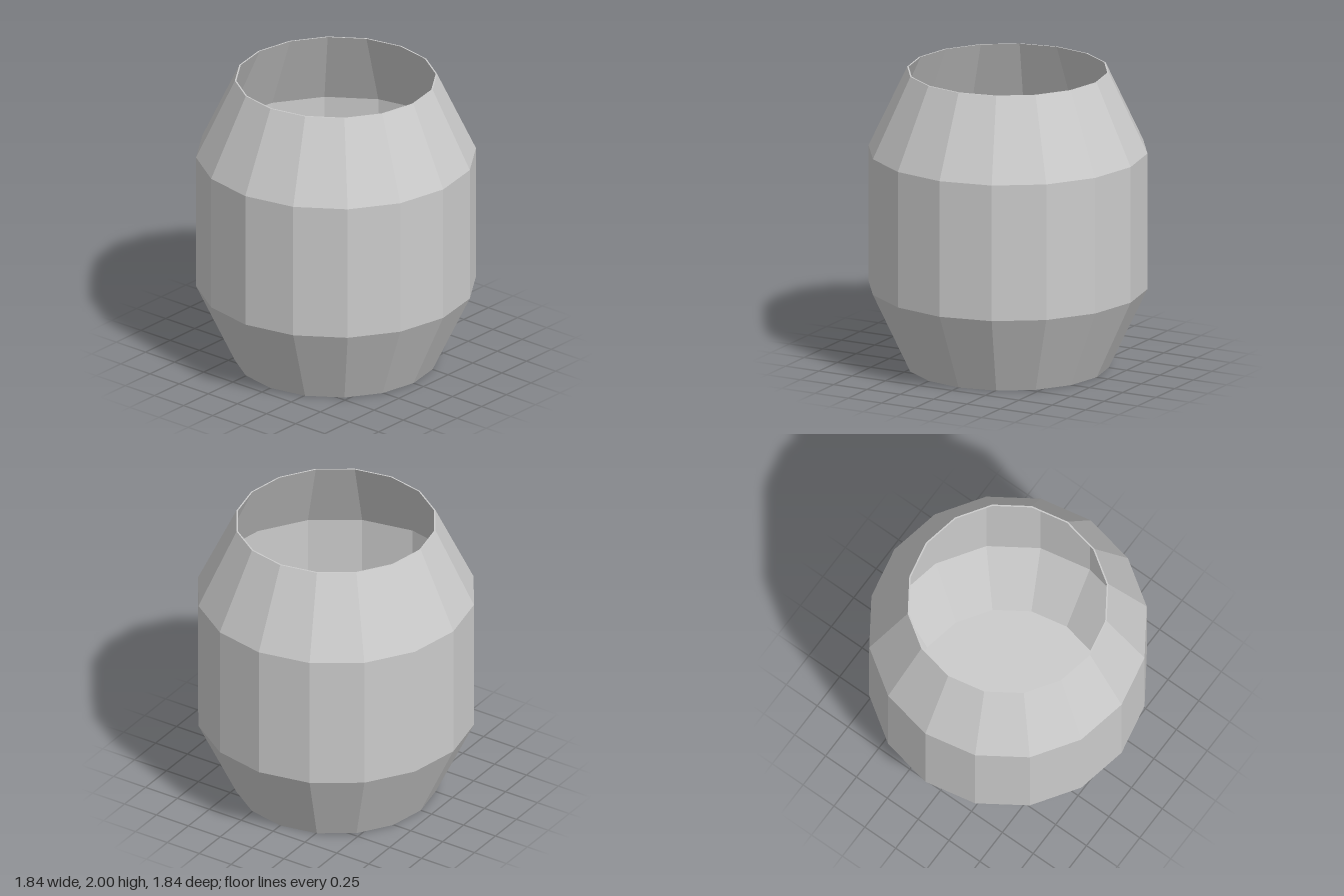
import * as THREE from 'three';

const SIDES = 16;
const WALL = 0.01;

export function createModel() {
  const group = new THREE.Group();
  group.name = 'barrel';
  const material = new THREE.MeshStandardMaterial({ color: 0xcccccc, flatShading: true });

  // Outer profile from the foot to the mouth: [radius, height]
  const outer = [[0.665, 0], [0.92, 0.54], [0.92, 1.46], [0.665, 2]];

  // Inner profile runs back down, one wall thickness inside
  const inner = outer.map(([r, y]) => [r - WALL, Math.max(y, WALL)]).reverse();

  // Closed cross-section: underside, outer wall, rim, inner wall, floor
  const profile = [[0, 0], ...outer, ...inner, [0, WALL]]
    .map(([r, y]) => new THREE.Vector2(r, y));

  const shell = new THREE.Mesh(new THREE.LatheGeometry(profile, SIDES), material);
  shell.name = 'barrelShell';
  group.add(shell);
  return group;
}
